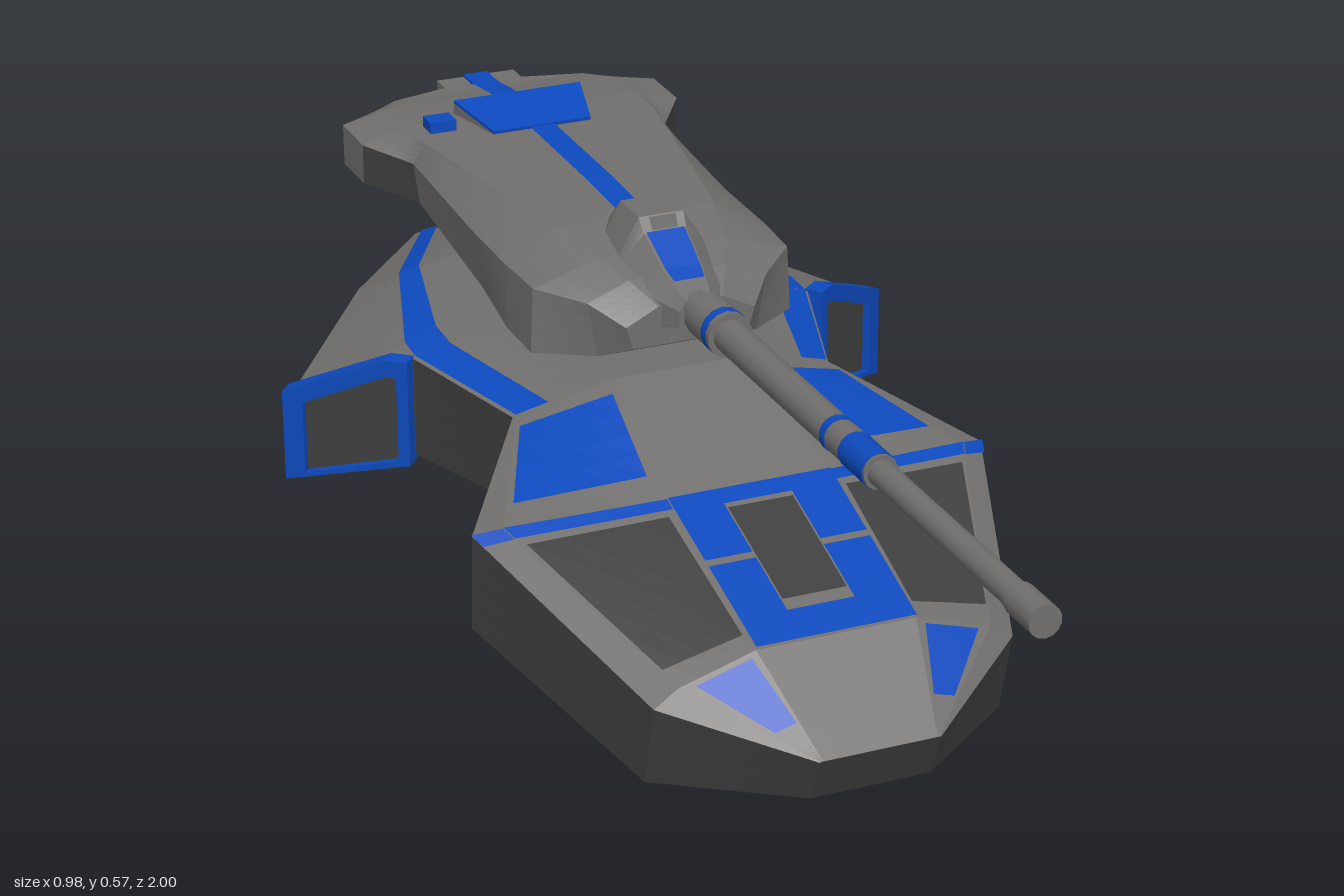
import * as THREE from 'three';

const mat = (name, color) => Object.assign(new THREE.MeshStandardMaterial({ color }), { name });

// A mirrored loft: half profiles (top centre to bottom centre) at stations from front to rear.
class Loft {
  constructor(stations) { this.s = stations; this.parts = new Map(); }
  // bilinear patch on a quad, with its mirror image, lifted along the normal
  quad(key, material, [a, b, c, d], [u0, u1, v0, v1] = [0, 1, 0, 1], lift = 0, n = 4) {
    const [A, B, C, D] = [a, b, c, d].map(p => new THREE.Vector3(...p));
    const normal = C.clone().sub(A).cross(D.clone().sub(B)).normalize().multiplyScalar(lift);
    const at = (i, j) => {
      const u = u0 + (u1 - u0) * i / n, v = v0 + (v1 - v0) * j / n;
      const p = A.clone().lerp(B, u).lerp(D.clone().lerp(C, u), v).add(normal);
      if (u === 0 && a[0] === 0) p.x = 0;
      return p;
    };
    if (!this.parts.has(key)) this.parts.set(key, { material, pos: [] });
    const out = this.parts.get(key).pos;
    for (let i = 0; i < n; i++) for (let j = 0; j < n; j++) {
      const q = [at(i, j), at(i + 1, j), at(i + 1, j + 1), at(i, j + 1)];
      for (const k of [0, 1, 2, 0, 2, 3]) out.push(q[k].x, q[k].y, q[k].z);
      for (const k of [0, 2, 1, 0, 3, 2]) out.push(-q[k].x, q[k].y, q[k].z);
    }
  }
  cell(key, material, i, j, range, lift) {
    const [p, q] = [this.s[i], this.s[i + 1]];
    this.quad(key, material, [p[j], p[j + 1], q[j + 1], q[j]], range, lift);
  }
  skin(pick) {
    for (let i = 0; i < this.s.length - 1; i++)
      for (let j = 0; j < this.s[0].length - 1; j++) this.cell(...pick(i, j), i, j);
  }
  // end faces, fanned from the top centre
  caps(key, material) {
    const f = this.s[0], r = this.s[this.s.length - 1];
    for (let k = 1; k < f.length - 1; k++) {
      this.quad(key, material, [f[0], f[k + 1], f[k], f[0]]);
      this.quad(key, material, [r[0], r[k], r[k + 1], r[0]]);
    }
  }
  build(name) {
    const g = new THREE.Group();
    g.name = name;
    for (const [key, { material, pos }] of this.parts) {
      const geo = new THREE.BufferGeometry();
      geo.setAttribute('position', new THREE.Float32BufferAttribute(pos, 3));
      geo.computeVertexNormals();
      const m = new THREE.Mesh(geo, material);
      m.name = key;
      g.add(m);
    }
    return g;
  }
}

// rows of [z, top x,y, shoulder x,y, bottom x,y]
const simpleRows = rows => rows.map(([z, tx, ty, sx, sy, bx, by]) =>
  [[0, ty, z], [tx, ty, z], [sx, sy, z], [bx, by, z], [0, by, z]]);

export function createModel() {
  const grey = mat('armour grey', 0x716f6d);
  const dark = mat('dark grey', 0x3f3f3f);
  const blue = mat('blue trim', 0x0d49bd);
  const model = new THREE.Group();
  model.name = 'hoverTank';
  const add = (name, geo, material, parent = model) => {
    const m = new THREE.Mesh(geo, material);
    m.name = name;
    parent.add(m);
    return m;
  };
  const box = (name, w, h, d, x, y, z, material) =>
    add(name, new THREE.BoxGeometry(w, h, d), material).position.set(x, y, z);

  // Hull: deck edge, crease, rim, lower edge and keel height at each station
  const hullRows = [
    [.085, .085, .545, .088, .085, .545, .09, .084, .545, .09, .013, .515],
    [.12, .19, .40, .235, .155, .40, .27, .13, .40, .27, 0, .365, .013],
    [.125, .28, .10, .355, .262, .06, .395, .25, .04, .395, .10, .03],
    [.11, .365, -.14, .245, .314, -.178, .25, .312, -.18, .25, .17, -.20],
    [.155, .36, -.40, .316, .323, -.414, .32, .322, -.41, .32, .165, -.41],
    [.155, .36, -.50, .315, .325, -.46, .475, .245, -.525, .465, .115, -.525, .16],
    [.15, .36, -.68, .24, .33, -.70, .285, .285, -.77, .28, .155, -.77],
    [.09, .36, -.80, .125, .30, -.92, .13, .29, -.94, .11, .145, -.895],
    [.10, .292, -.94, .12, .29, -.94, .13, .29, -.94, .11, .145, -.895],
  ];
  const hull = new Loft(hullRows.map(r => [
    [0, r[1], r[2]], r.slice(0, 3), r.slice(3, 6), r.slice(6, 9), r.slice(9, 12), [0, r[12] ?? r[10], r[11]],
  ]));
  hull.skin((i, j) => j === 4 ? ['hullBelly', grey] : j === 3 ? ['hullSides', dark]
    : i === 7 ? ['hullTrim', blue] : ['hullDeck', grey]);
  hull.caps('hullEnds', dark);

  // Rear panel with a blue frame
  const r = hull.s[8], rear = [r[0], r[3], r[4], r[5]];
  hull.quad('rearFrame', blue, rear, [0, 1, 0, 1], .003);
  hull.quad('rearPanel', dark, rear, [0, .87, .1, .92], .006);

  // Painted deck panels
  hull.cell('deckPanels', dark, 1, 1, [.05, .97, .1, .89], .003);
  hull.cell('crossbar', blue, 1, 1, [0, 1, .93, 1], .004);
  hull.cell('crossbar', blue, 1, 2, [0, 1, .93, 1], .004);
  hull.cell('nosePatches', blue, 0, 1, [.1, .85, .35, .95], .003);
  hull.cell('shoulderPatches', blue, 2, 1, [.06, .95, .2, .88], .003);
  for (let i = 3; i < 7; i++) hull.cell('edgeStripe', blue, i, 1, [.66, 1, 0, 1], .003);
  for (const range of [[.42, 1, 0, .53], [.42, 1, .57, 1], [0, .42, 0, .18], [0, .42, .9, 1]])
    hull.cell('hatchSurround', blue, 1, 0, range, .006);
  hull.cell('frontHatch', dark, 1, 0, [0, .4, .25, .87], .006);
  model.add(hull.build('hull'));
  box('bellySlot', .06, .02, .3, 0, .159, -.55, dark);

  // Side fins: sloped blue frames around dark panels
  const outline = [[0, .157], [.2, .11], [.2, .255], [.035, .325], [0, .325]];
  const inner = [[.018, .163], [.168, .125], [.168, .24], [.035, .298], [.018, .298]];
  const toShape = (Kind, pts) => new Kind(pts.map(p => new THREE.Vector2(...p)));
  const frame = toShape(THREE.Shape, outline);
  frame.holes.push(toShape(THREE.Path, inner));
  const finPiece = (shape, depth, side) => {
    const geo = new THREE.ExtrudeGeometry(shape, { depth, bevelEnabled: false });
    geo.rotateY(.679).translate(.318, 0, -.415);
    if (side < 0) {
      geo.scale(-1, 1, 1);
      const p = geo.attributes.position, v = new THREE.Vector3(), w = new THREE.Vector3();
      for (let i = 0; i < p.count; i += 3) {
        v.fromBufferAttribute(p, i + 1);
        w.fromBufferAttribute(p, i + 2);
        p.setXYZ(i + 1, w.x, w.y, w.z);
        p.setXYZ(i + 2, v.x, v.y, v.z);
      }
      geo.computeVertexNormals();
    }
    return geo;
  };
  for (const side of [1, -1]) {
    const n = side > 0 ? 'left' : 'right';
    add(n + 'FinFrame', finPiece(frame, .03, side), blue);
    add(n + 'FinPanel', finPiece(toShape(THREE.Shape, inner), .018, side), dark);
  }

  // Turret ring
  add('turretRing', new THREE.CylinderGeometry(.155, .155, .06, 24), dark).position.set(0, .375, -.525);

  // Turret
  const turret = new Loft(simpleRows([
    [-.11, .05, .48, .10, .455, .09, .42],
    [-.16, .075, .505, .14, .48, .125, .395],
    [-.22, .10, .52, .2, .49, .205, .39],
    [-.32, .125, .533, .205, .49, .205, .39],
    [-.46, .15, .537, .205, .49, .19, .395],
    [-.71, .19, .537, .208, .505, .2, .44],
    [-.79, .19, .537, .262, .515, .262, .452],
    [-.885, .185, .53, .262, .515, .262, .45],
    [-.935, .16, .522, .19, .51, .19, .455],
    [-.965, .06, .52, .07, .51, .07, .455],
  ]));
  turret.skin((i, j) => i === 5 && j === 2 ? ['sideIntakes', dark] : ['turretShell', grey]);
  turret.caps('turretShell', grey);
  const stripeEdge = p => [.02, p[1][1], p[1][2]];
  for (let i = 3; i < 9; i++) {
    const a = turret.s[i], b = turret.s[i + 1];
    turret.quad('centreStripe', blue, [a[0], stripeEdge(a), stripeEdge(b), b[0]], [0, 1, 0, 1], .004);
  }
  model.add(turret.build('turret'));
  box('turretTail', .13, .068, .08, 0, .486, -.96, grey);
  box('tailStripe', .04, .006, .04, 0, .521, -.98, blue);

  // Tilted roof hatch with a blue cover, and sensor
  const hatch = toShape(THREE.Shape, [[-.08, 0], [.08, 0], [.105, .11], [-.105, .11]]);
  for (const [name, y, depth, m] of [['roofHatch', -.02, .022, grey], ['roofHatchCover', .002, .005, blue]])
    add(name, new THREE.ExtrudeGeometry(hatch, { depth, bevelEnabled: false })
      .rotateX(-Math.PI / 2).translate(0, y, 0).rotateX(.15).translate(0, .536, -.7), m);
  box('roofSensor', .042, .025, .035, -.147, .542, -.757, blue);

  // Gun mantle
  const mantle = new Loft(simpleRows([
    [-.08, .02, .495, .03, .48, .03, .455],
    [-.14, .03, .52, .06, .49, .06, .44],
    [-.205, .033, .553, .07, .51, .07, .43],
    [-.22, .035, .574, .07, .515, .07, .43],
    [-.29, .035, .574, .07, .51, .07, .43],
    [-.34, .02, .545, .05, .51, .05, .43],
  ]));
  mantle.skin(() => ['mantleShell', grey]);
  mantle.caps('mantleShell', grey);
  mantle.cell('mantleStripe', blue, 0, 0, [0, .9, .6, 1], .003);
  mantle.cell('mantleStripe', blue, 1, 0, [0, .9, 0, 1], .003);
  mantle.cell('mantleSight', dark, 2, 0, [0, .6, .1, .9], .003);
  model.add(mantle.build('mantle'));

  // Gun barrel with collars
  const gun = new THREE.Group();
  gun.name = 'gun';
  gun.position.y = .483;
  gun.rotation.x = -.0157;
  model.add(gun);
  for (const [name, m, rad, z0, z1] of [
    ['gunNeck', grey, .022, -.15, -.05], ['rearCollar', grey, .034, -.055, .005],
    ['collarBand', blue, .0342, .005, .022], ['frontCollar', grey, .034, .022, .032],
    ['barrelSleeve', grey, .025, .03, .53], ['thinBand', blue, .0262, .39, .405],
    ['barrelBand', blue, .0262, .45, .525], ['barrelTube', grey, .019, .525, .94],
    ['muzzle', grey, .023, .93, 1],
  ]) add(name, new THREE.CylinderGeometry(rad, rad, z1 - z0, 14).rotateX(Math.PI / 2)
    .translate(0, 0, (z0 + z1) / 2), m, gun);

  return model;
}
